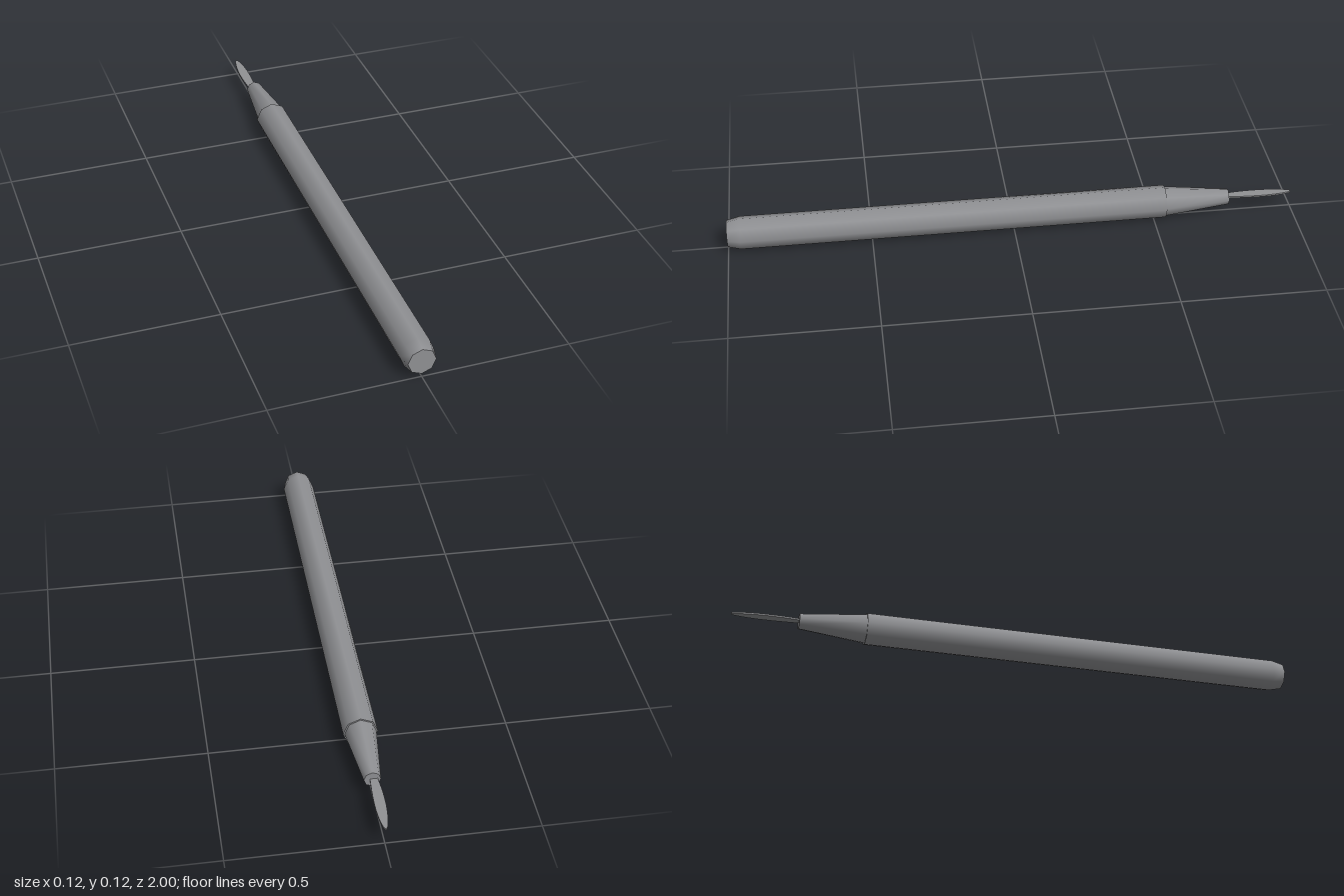
import * as THREE from 'three';

const SIDES = 8;
const AXIS_Y = 0.059;

export function createModel() {
  const group = new THREE.Group();
  const grey = new THREE.MeshStandardMaterial({ color: 0x909194 });
  grey.name = 'grey metal';

  const add = (name, geometry) => {
    const mesh = new THREE.Mesh(geometry, grey);
    mesh.name = name;
    mesh.position.y = AXIS_Y;
    group.add(mesh);
    return mesh;
  };

  // Smooth eight-sided shell along z, from [radius, z] pairs running back to front
  const shell = (name, profile) => add(name, new THREE.LatheGeometry(
    profile.map(([r, z]) => new THREE.Vector2(r, z)), SIDES).rotateX(Math.PI / 2));

  // Flat eight-sided end face
  const cap = (name, radius, z, facesBack) => {
    const geometry = new THREE.CircleGeometry(radius, SIDES);
    if (facesBack) geometry.rotateY(Math.PI);
    add(name, geometry).position.z = z;
  };

  // Handle with a tapered butt end
  shell('handle', [[0.058, -0.54], [0.058, 0.955], [0.047, 1]]);
  cap('handleButt', 0.047, 1, false);
  cap('handleShoulder', 0.058, -0.54, true);

  // Tapered collar that holds the blade
  shell('collar', [[0.028, -0.77], [0.053, -0.54]]);
  cap('collarEnd', 0.028, -0.77, true);

  // Thin leaf-shaped blade, drawn with its tip towards +y and laid along -z
  const outline = new THREE.Shape();
  outline.moveTo(0.011, 0.74);
  outline.lineTo(0.011, 0.77);
  outline.bezierCurveTo(0.017, 0.85, 0.022, 0.93, 0.007, 0.99);
  outline.quadraticCurveTo(0, 1.01, -0.007, 0.99);
  outline.bezierCurveTo(-0.022, 0.93, -0.023, 0.85, -0.014, 0.77);
  outline.lineTo(-0.014, 0.74);
  const blade = new THREE.ExtrudeGeometry(outline, {
    depth: 0.006, bevelEnabled: false, curveSegments: 8,
  });
  blade.translate(-0.003, 0, -0.003).rotateX(-Math.PI / 2);
  add('blade', blade);

  return group;
}
